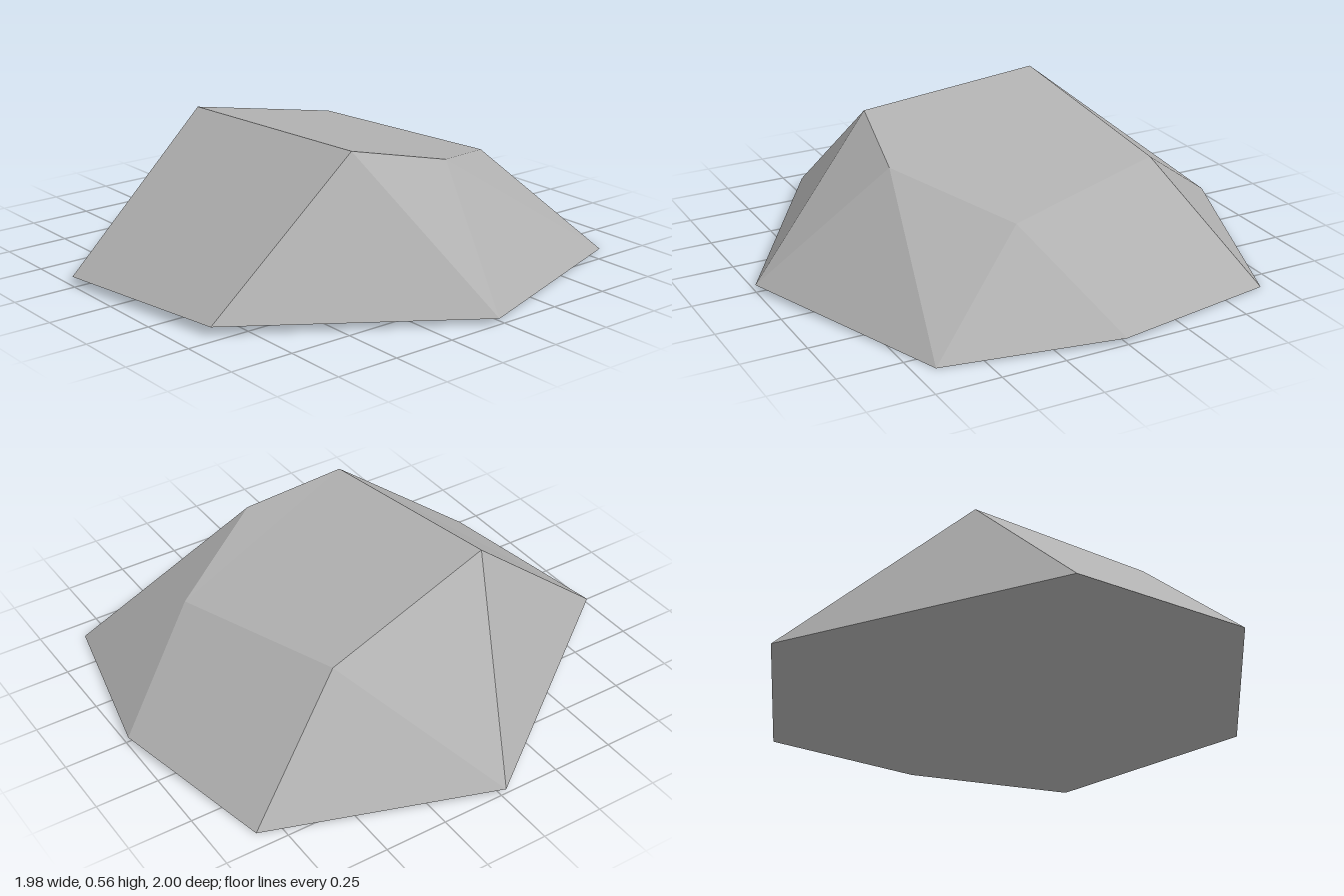
import * as THREE from 'three';

// Corners of the rock: seven around the foot, five around the sloping top
const corners = {
  A: [-0.99, 0.03, -0.28], B: [-0.02, 0.02, -1.0], C: [0.84, 0, -0.68], D: [0.99, 0.02, 0],
  E: [0.84, 0, 0.67], F: [-0.02, 0.02, 0.995], G: [-0.88, 0.035, 0.46],
  P: [-0.36, 0.565, -0.355], Q: [0.38, 0.402, -0.47], R: [0.6, 0.352, 0.23],
  S: [0.15, 0.46, 0.515], T: [-0.24, 0.545, 0.44],
};

// Builds flat facets from corner names, each listed counter-clockwise from outside
function facets(faces) {
  const positions = [];
  for (const face of faces) {
    for (let i = 1; i < face.length - 1; i++) {
      for (const name of [face[0], face[i], face[i + 1]]) positions.push(...corners[name]);
    }
  }
  const geometry = new THREE.BufferGeometry();
  geometry.setAttribute('position', new THREE.Float32BufferAttribute(positions, 3));
  geometry.computeVertexNormals();
  return geometry;
}

export function createModel() {
  const stone = new THREE.MeshStandardMaterial({ color: 0xb0b0b0 });
  stone.name = 'greyStone';
  stone.flatShading = true;

  const group = new THREE.Group();
  group.name = 'rock';
  const parts = {
    rockTop: ['TSRQP'],
    rockSides: ['AGTP', 'GFT', 'FST', 'FES', 'ERS', 'EDR', 'DCQR', 'CBQ', 'BPQ', 'BAP'],
    rockUnderside: ['ABCDEFG'],
  };
  for (const [name, faces] of Object.entries(parts)) {
    const mesh = new THREE.Mesh(facets(faces), stone);
    mesh.name = name;
    group.add(mesh);
  }
  return group;
}
